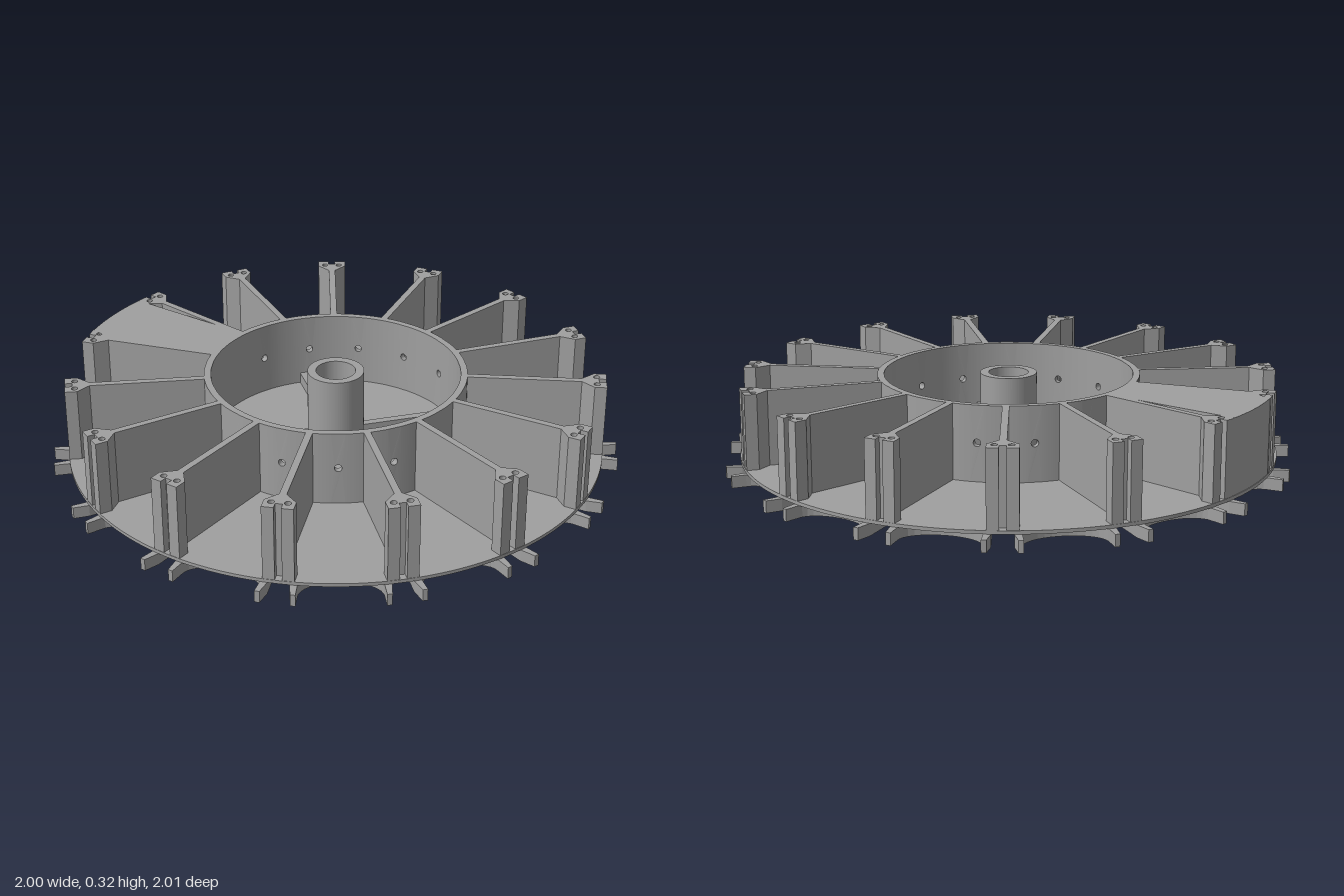
import * as THREE from 'three';

const COUNT = 15;
const STEP = (Math.PI * 2) / COUNT;
const DEG = Math.PI / 180;
const PLATE_TOP = 0.042, DISC_TOP = 0.054, TOP = 0.32;
const BORE = 0.07, RING_IN = 0.44, RING_OUT = 0.464, RIM = 0.95;

export function createModel() {
  const model = new THREE.Group();
  model.name = 'ribbedWheel';
  const grey = new THREE.MeshStandardMaterial({ color: 0xa0a0a0 });
  grey.name = 'grey plastic';

  const add = (name, geometry, angle = 0) => {
    const mesh = new THREE.Mesh(geometry, grey);
    mesh.name = name;
    mesh.rotation.y = angle;
    model.add(mesh);
    return mesh;
  };
  // Plan outline raised from y0 to y1
  const raise = (shape, y0, y1, curveSegments = 24) =>
    new THREE.ExtrudeGeometry(shape, { depth: y1 - y0, bevelEnabled: false, curveSegments })
      .rotateX(-Math.PI / 2).translate(0, y0, 0);
  const circle = (x, y, r, Type = THREE.Path) => new Type().absarc(x, y, r, 0, Math.PI * 2, false);
  const outline = (pts) => new THREE.Shape(pts.map(([x, y]) => new THREE.Vector2(x, y)));
  const arcBand = (r0, r1, a0, a1) => {
    const s = new THREE.Shape();
    s.absarc(0, 0, r1, a0, a1, false);
    s.absarc(0, 0, r0, a1, a0, true);
    return s;
  };

  // Bottom plate: forked teeth with a round-ended slot, scallops between them
  const pts = [];
  const put = (angle, r, t) => pts.push([
    r * Math.cos(angle) - t * Math.sin(angle),
    r * Math.sin(angle) + t * Math.cos(angle),
  ]);
  const SLOT = 0.036;
  for (let i = 0; i < COUNT; i++) {
    const a = i * STEP;
    put(a, 1.003, -0.066);
    put(a, 1.003, -0.049);
    put(a, 0.95, -SLOT);
    for (let k = 0; k <= 10; k++) {
      const q = (k / 10) * Math.PI;
      put(a, 0.782 - SLOT * Math.sin(q), -SLOT * Math.cos(q));
    }
    put(a, 0.95, SLOT);
    put(a, 1.003, 0.049);
    put(a, 1.003, 0.066);
    for (let k = 0; k <= 16; k++) {
      const q = (k / 16) * Math.PI;
      put(a + STEP / 2, 0.945 - 0.083 * Math.sin(q), -0.138 * Math.cos(q));
    }
  }
  const plate = outline(pts);
  plate.holes.push(circle(0, 0, BORE));
  add('toothedPlate', raise(plate, 0, PLATE_TOP));

  // Thin round disc over the plate
  const disc = circle(0, 0, RIM, THREE.Shape);
  disc.holes.push(circle(0, 0, BORE));
  add('disc', raise(disc, PLATE_TOP, DISC_TOP, 120));

  // Centre tube
  const tube = circle(0, 0, 0.1, THREE.Shape);
  tube.holes.push(circle(0, 0, BORE));
  add('hubTube', raise(tube, DISC_TOP, TOP, 48));

  // Low cross bars on the floor of the ring
  for (let i = 0; i < 4; i++) {
    const bar = new THREE.BoxGeometry(0.355, 0.04, 0.028).translate(0.27, DISC_TOP + 0.02, 0);
    add('floorBar', bar, Math.PI / 4 + (i * Math.PI) / 2);
  }

  // Ring wall: plain arcs joined by narrow panels, each pierced by a round hole
  const HALF = 3 * DEG;
  const ringArc = raise(arcBand(RING_IN, RING_OUT, -STEP / 2 + HALF, STEP / 2 - HALF), DISC_TOP, TOP, 10);
  const plainPanel = raise(arcBand(RING_IN, RING_OUT, -HALF, HALF), DISC_TOP, TOP, 4);
  const panelShape = outline([[-HALF, DISC_TOP], [HALF, DISC_TOP], [HALF, TOP], [-HALF, TOP]]);
  const hole = new THREE.Path();
  hole.absellipse(0, 0.19, 0.013 / RING_OUT, 0.013, 0, Math.PI * 2, false, 0);
  panelShape.holes.push(hole);
  const panel = new THREE.ExtrudeGeometry(panelShape, { depth: RING_OUT - RING_IN, bevelEnabled: false, curveSegments: 10 });
  const p = panel.attributes.position;
  for (let i = 0; i < p.count; i++) {
    const a = p.getX(i), r = RING_IN + p.getZ(i);
    p.setXYZ(i, r * Math.cos(a), p.getY(i), -r * Math.sin(a));
  }
  panel.computeVertexNormals();

  // Radial rib ending in a flared head with a groove and two round bores
  const side = [[0.455, 0.012], [0.862, 0.012], [0.905, 0.052], [0.948, 0.052], [0.948, 0.012], [0.922, 0.012]];
  const ribShape = outline([...side.map(([x, y]) => [x, -y]), ...side.slice().reverse()]);
  ribShape.holes.push(circle(0.914, 0.027, 0.011), circle(0.914, -0.027, 0.011));
  const rib = raise(ribShape, DISC_TOP, TOP, 8);

  for (let i = 0; i < COUNT; i++) {
    const a = i * STEP;
    const blocked = i === (COUNT - 1) / 2;
    add('rib', rib, a);
    add('ringArc', ringArc, a);
    add('ringPanel', blocked ? plainPanel : panel, a + STEP / 2);
  }

  // Solid block filling one bay between two ribs
  const edge = STEP / 2, inner = edge - 3.2 * DEG;
  const block = new THREE.Shape();
  block.moveTo(0.86 * Math.cos(edge), -0.86 * Math.sin(edge));
  block.absarc(0, 0, 0.948, -inner, inner, false);
  block.lineTo(0.86 * Math.cos(edge), 0.86 * Math.sin(edge));
  block.absarc(0, 0, 0.462, edge, -edge, true);
  add('solidBay', raise(block, DISC_TOP, TOP), Math.PI);

  // Centre the whole on x
  model.children.forEach((m) => { m.position.x = -0.011; });
  return model;
}
